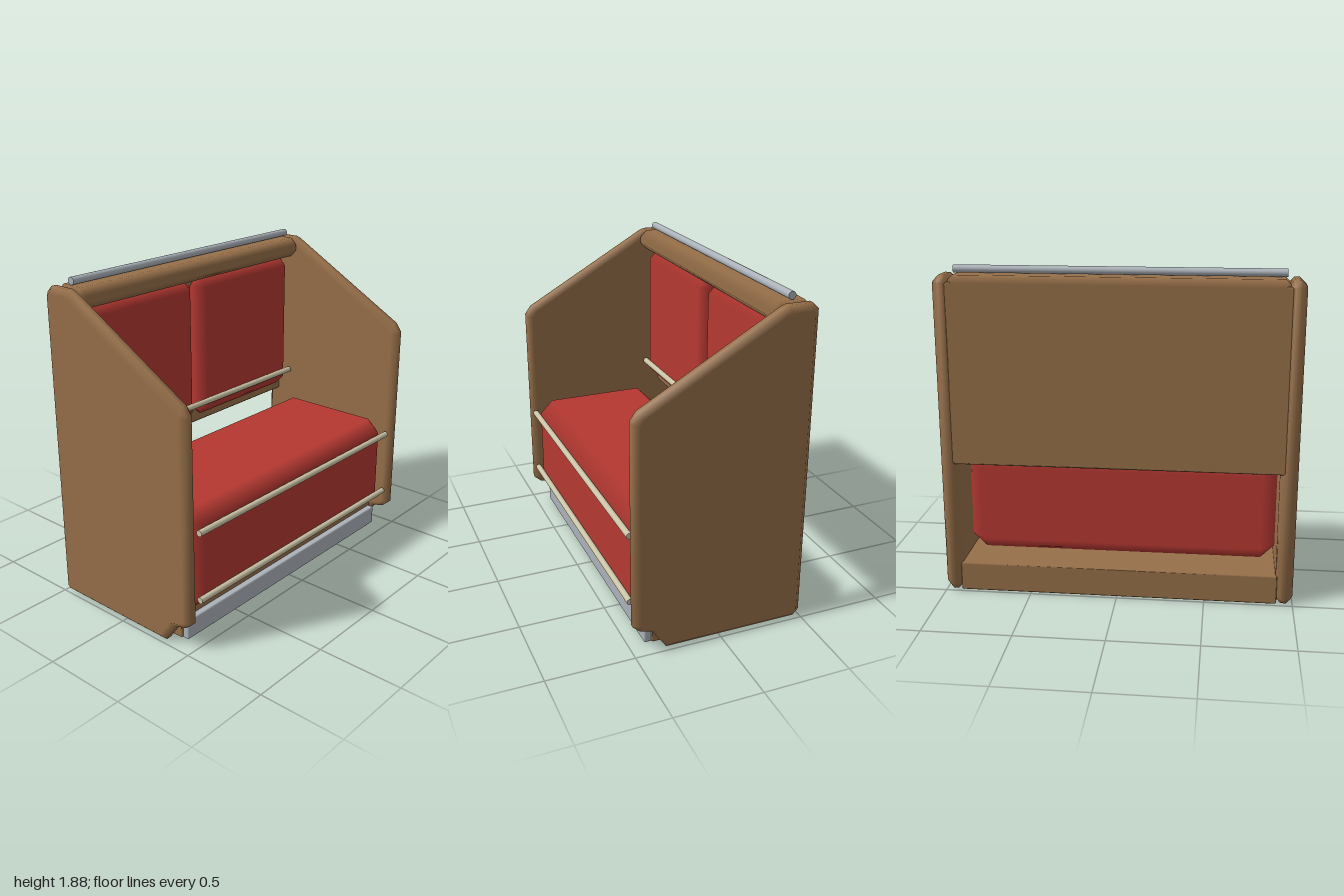
import * as THREE from 'three';
import { toCreasedNormals } from 'three/addons/utils/BufferGeometryUtils.js';
import { ConvexGeometry } from 'three/addons/geometries/ConvexGeometry.js';

const material = (name, color) => {
  const m = new THREE.MeshStandardMaterial({ color });
  m.name = name;
  return m;
};

// Box with chamfered edges; the large faces stay flat and the chamfers shade smoothly.
function chamferBox(w, h, d, c) {
  const half = [w / 2, h / 2, d / 2];
  const points = [];
  for (const sx of [-1, 1]) for (const sy of [-1, 1]) for (const sz of [-1, 1]) {
    for (let axis = 0; axis < 3; axis++) {
      const p = [sx, sy, sz].map((s, i) => s * (half[i] - (i === axis ? 0 : c)));
      points.push(new THREE.Vector3(...p));
    }
  }
  const geo = new ConvexGeometry(points);
  const pos = geo.attributes.position, nor = geo.attributes.normal;
  for (let i = 0; i < pos.count; i++) {
    const p = [pos.getX(i), pos.getY(i), pos.getZ(i)];
    nor.setXYZ(i, ...p.map((v, k) => (Math.abs(Math.abs(v) - half[k]) < 1e-4 ? Math.sign(v) : 0)));
  }
  return geo;
}

// Side panel: outline in (z, y), extruded along x with chamfered rims.
function sidePanelGeometry() {
  const outline = [
    [0.5, 0.17], [0.5, 1.34], [0.465, 1.39], [-0.3, 1.825], [-0.33, 1.835], [-0.465, 1.835],
    [-0.5, 1.8], [-0.5, 0.035], [-0.465, 0], [0.31, 0], [0.345, 0.05], [0.39, 0.115], [0.46, 0.135],
  ];
  const shape = new THREE.Shape(outline.map(([z, y]) => new THREE.Vector2(-z, y)));
  const bevel = 0.035, thickness = 0.1;
  let geo = new THREE.ExtrudeGeometry(shape, {
    depth: thickness - 2 * bevel, bevelEnabled: true, bevelSegments: 1,
    bevelSize: bevel, bevelThickness: bevel, bevelOffset: -bevel,
  });
  geo.translate(0, 0, bevel - thickness / 2);
  geo.rotateY(Math.PI / 2);
  geo = toCreasedNormals(geo, 0.9);
  const pos = geo.attributes.position, nor = geo.attributes.normal;
  for (let i = 0; i < pos.count; i++) {
    const x = pos.getX(i);
    if (Math.abs(x) > thickness / 2 - 1e-4) nor.setXYZ(i, Math.sign(x), 0, 0);
  }
  return geo;
}

export function createModel() {
  const group = new THREE.Group();
  group.name = 'benchSeat';
  const wood = material('brown wood', 0x966f49);
  const fabric = material('red upholstery', 0xb53831);
  const metal = material('grey metal', 0xabb2b9);
  const piping = material('beige trim', 0xcbc3a6);

  const add = (name, geo, mat, x = 0, y = 0, z = 0) => {
    const mesh = new THREE.Mesh(geo, mat);
    mesh.name = name;
    mesh.position.set(x, y, z);
    group.add(mesh);
    return mesh;
  };
  // Box given by its extents
  const box = (name, mat, [x0, x1], [y0, y1], [z0, z1], c) =>
    add(name, chamferBox(x1 - x0, y1 - y0, z1 - z0, c), mat, (x0 + x1) / 2, (y0 + y1) / 2, (z0 + z1) / 2);
  const rod = (name, mat, length, r, y, z) =>
    add(name, new THREE.CylinderGeometry(r, r, length, 16).rotateZ(Math.PI / 2), mat, 0, y, z);

  // Side panels
  const panel = sidePanelGeometry();
  add('leftSidePanel', panel, wood, 0.95);
  add('rightSidePanel', panel, wood, -0.95);

  // Wooden frame
  box('base', wood, [-0.91, 0.91], [0.004, 0.17], [-0.49, 0.37], 0.006);
  box('backBoard', wood, [-0.93, 0.93], [0.775, 1.8], [-0.498, -0.41], 0.01);
  box('topRail', wood, [-0.93, 0.93], [1.715, 1.835], [-0.498, -0.28], 0.04);

  // Cushions
  box('seatCushion', fabric, [-0.9, 0.9], [0.17, 0.77], [-0.3, 0.465], 0.08);
  for (const [name, x0] of [['leftBackCushion', 0.01], ['rightBackCushion', -0.89]]) {
    box(name, fabric, [x0, x0 + 0.88], [0.84, 1.72], [-0.46, -0.32], 0.06);
  }

  // Beige bars across the cushions
  rod('backBar', piping, 1.76, 0.018, 0.94, -0.31);
  rod('upperSeatBar', piping, 1.76, 0.018, 0.672, 0.483);
  rod('lowerSeatBar', piping, 1.76, 0.018, 0.272, 0.483);

  // Metal grab rail and kick plate
  rod('grabRail', metal, 1.8, 0.022, 1.861, -0.385);
  box('kickPlate', metal, [-0.9, 0.9], [0.002, 0.122], [0.365, 0.41], 0.008);

  return group;
}
